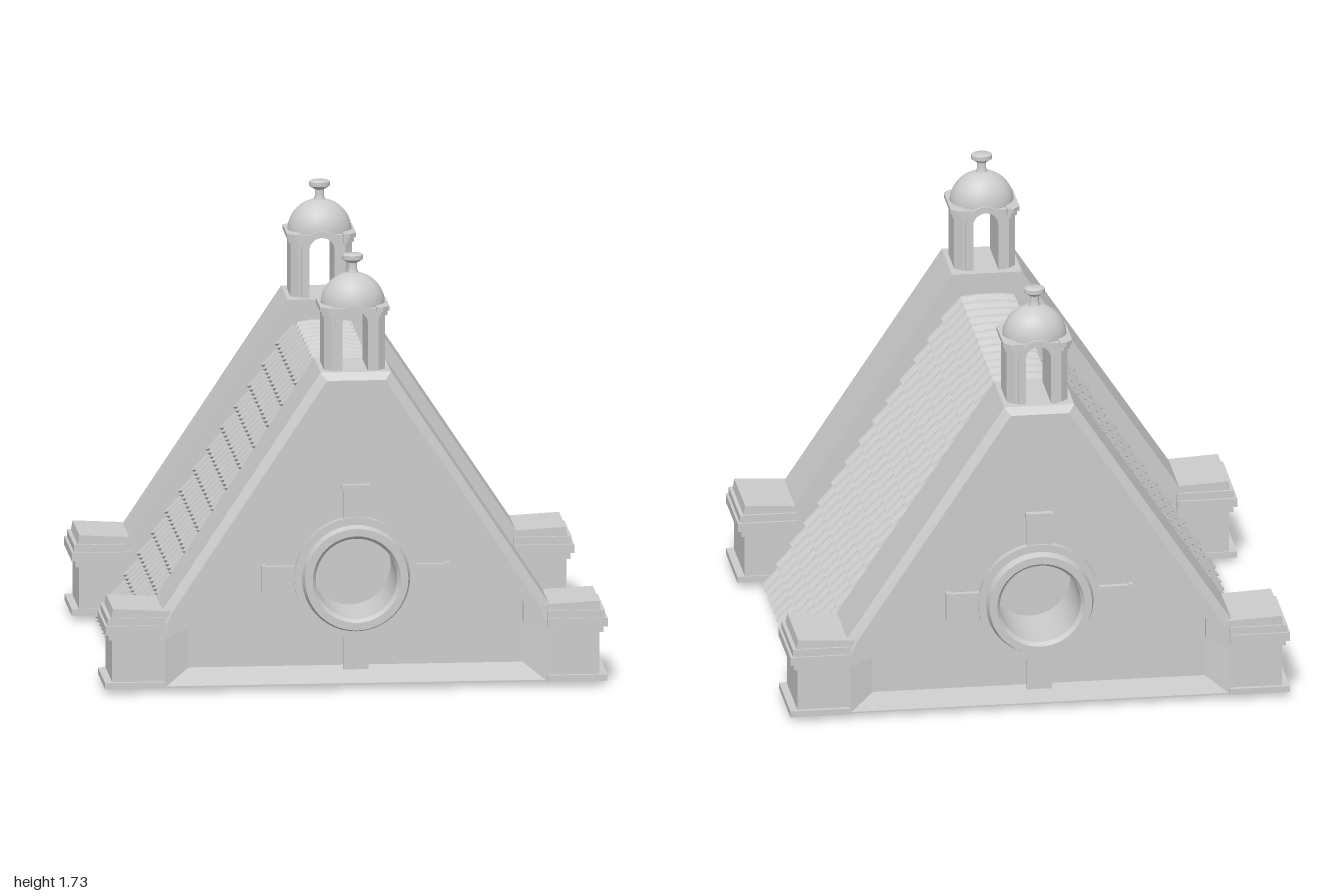
import * as THREE from 'three';
import { toCreasedNormals } from 'three/addons/utils/BufferGeometryUtils.js';

const mat = new THREE.MeshStandardMaterial({ color: 0xcccccc });
const thin = new THREE.MeshStandardMaterial({ color: 0xcccccc, side: THREE.DoubleSide });

function add(parent, name, geo, x = 0, y = 0, z = 0, material = mat) {
  const m = new THREE.Mesh(geo, material);
  m.name = name;
  m.position.set(x, y, z);
  parent.add(m);
  return m;
}

// Box given by its limits
function block(parent, name, x0, x1, y0, y1, z0, z1) {
  return add(parent, name, new THREE.BoxGeometry(x1 - x0, y1 - y0, z1 - z0),
    (x0 + x1) / 2, (y0 + y1) / 2, (z0 + z1) / 2);
}

const shapeOf = pts => new THREE.Shape(pts.map(p => new THREE.Vector2(...p)));
const extrude = (shape, depth) =>
  toCreasedNormals(new THREE.ExtrudeGeometry(shape, { depth, bevelEnabled: false, curveSegments: 20 }), 0.5);
const mirrored = pts => [...pts, ...pts.slice().reverse().map(([x, ...r]) => [-x, ...r])];

// Skin over rows of points, all rows equally long
function skin(rows, crease = 0.5) {
  const n = rows[0].length, index = [];
  for (let i = 0; i < rows.length - 1; i++)
    for (let j = 0; j < n - 1; j++) {
      const a = i * n + j, b = a + n;
      index.push(a, a + 1, b, b, a + 1, b + 1);
    }
  const g = new THREE.BufferGeometry();
  g.setAttribute('position', new THREE.Float32BufferAttribute(rows.flat(2), 3));
  g.setIndex(index);
  return toCreasedNormals(g, crease);
}

// Corrugated, stepped tiles running from one eave over the ridge to the other
function tiledRoof(group) {
  const rowCount = 14, top = [0.115, 1.18], eave = [0.885, 0.005];
  const N = new THREE.Vector2(top[1] - eave[1], eave[0] - top[0]).normalize();
  const half = [];
  for (let r = rowCount; r > 0; r--) {
    const at = (k, h) => [
      top[0] + (eave[0] - top[0]) * k / rowCount + N.x * h,
      top[1] + (eave[1] - top[1]) * k / rowCount + N.y * h, N.x, N.y];
    half.push(at(r, 0), at(r, 0.017), at(r - 1, 0));
  }
  half.push([0.118, 1.178, N.x, N.y], [0.108, 1.19, 0.4, 0.9], [0.05, 1.197, 0.1, 1]);
  const profile = mirrored(half);
  const cols = 120, length = 1.24, pitch = 0.08;
  const rows = profile.map(([x, y, nx, ny]) => Array.from({ length: cols + 1 }, (_, j) => {
    const z = length * (j / cols - 0.5);
    const h = 0.009 * Math.cos(2 * Math.PI * z / pitch);
    return [x + nx * h, Math.max(0.003, y + ny * h), z];
  }));
  add(group, 'roofTiles', skin(rows, 0.6), 0, 0, 0, thin);
  const core = shapeOf(mirrored([[0.865, 0.005], [0.1, 1.165]]));
  add(group, 'roofCore', extrude(core, 1.24), 0, 0, -0.62);
  block(group, 'floorSlab', -0.87, 0.87, 0, 0.02, -0.67, 0.67);
}

// Little bell turret on top of a gable
function turret(parent) {
  const t = new THREE.Group();
  t.name = 'turret';
  t.position.set(0, 1.28, 0.745);
  parent.add(t);
  // Arched wall, open from front to back
  const arch = (w, h) => {
    const s = new THREE.Shape();
    s.moveTo(-w, 0);
    s.lineTo(w, 0);
    s.lineTo(w, h);
    s.absarc(0, h, w, 0, Math.PI);
    s.lineTo(-w, 0);
    return s;
  };
  const ring = (w, h, v, k) => {
    const s = new THREE.Shape();
    s.moveTo(v, 0);
    s.lineTo(w, 0);
    s.lineTo(w, h);
    s.absarc(0, h, w, 0, Math.PI, false);
    s.lineTo(-w, 0);
    s.lineTo(-v, 0);
    s.lineTo(-v, k);
    s.absarc(0, k, v, Math.PI, 0, true);
    s.lineTo(v, 0);
    return s;
  };
  const wall = shapeOf([[-0.09, 0], [0.09, 0], [0.09, 0.25], [-0.09, 0.25]]);
  wall.holes.push(new THREE.Path(arch(0.05, 0.19).getPoints(12)));
  add(t, 'archWall', extrude(wall, 0.216), 0, 0, -0.108);
  add(t, 'archSurround', extrude(ring(0.08, 0.185, 0.05, 0.19), 0.234), 0, 0, -0.117);
  // Chamfered side walls and their cornices
  const side = (s, grow, h) => {
    const a = 0.085, b = 0.122 + grow, c = 0.108 + grow;
    const pts = [[a, -c], [b - 0.028, -c], [b, -c + 0.028], [b, c - 0.028], [b - 0.028, c], [a, c]];
    const g = extrude(shapeOf(pts.map(([x, y]) => [x * s, y])), h);
    return g.rotateX(-Math.PI / 2);
  };
  for (const s of [-1, 1]) {
    add(t, 'turretSide', side(s, 0, 0.25));
    add(t, 'turretCornice', side(s, 0.008, 0.022), 0, 0.218, 0);
    add(t, 'turretCornice', side(s, 0.016, 0.018), 0, 0.238, 0);
  }
  // Dome and finial, slightly oval in plan
  const dome = new THREE.SphereGeometry(0.128, 32, 12, 0, Math.PI * 2, 0, Math.PI / 2);
  add(t, 'dome', dome, 0, 0.25, 0, thin).scale.z = 0.83;
  const knob = [[0.026, 0.37], [0.018, 0.39], [0.018, 0.415], [0.042, 0.43], [0.042, 0.447], [0.034, 0.452], [0, 0.452]];
  const finial = toCreasedNormals(new THREE.LatheGeometry(knob.map(p => new THREE.Vector2(...p)), 24), 0.6);
  add(t, 'finial', finial, 0, 0, 0, thin).scale.z = 0.83;
}

// Stepped corner pier
function pier(parent, s) {
  const g = new THREE.Group();
  g.name = 'cornerPier';
  parent.add(g);
  const layer = (name, x, y0, y1, z0, z1) =>
    block(g, name, Math.min(s * 0.76, s * x), Math.max(s * 0.76, s * x), y0, y1, z0, z1);
  layer('pierShaft', 0.97, 0.02, 0.24, 0.595, 0.893);
  layer('pierPlinth', 1.0, 0.02, 0.045, 0.588, 0.912);
  layer('pierMoulding', 0.985, 0.215, 0.245, 0.585, 0.903);
  layer('pierCornice', 1.0, 0.24, 0.275, 0.575, 0.918);
  layer('pierCornice', 0.99, 0.275, 0.305, 0.585, 0.91);
  // Cap rises a little toward the outside
  const cap = shapeOf([[0.74, 0.305], [0.975, 0.305], [0.968, 0.342], [0.74, 0.33]].map(([x, y]) => [s * x, y]));
  add(g, 'pierCap', extrude(cap, 0.305), 0, 0, 0.597);
}

function gable() {
  const g = new THREE.Group();
  g.name = 'gable';
  const windowY = 0.45, panelZ = 0.87, rimZ = 0.905;

  // Wall with the round opening
  const wall = shapeOf(mirrored([[0.96, 0.02], [0.96, 0.3], [0.79, 0.3], [0.14, 1.28]]));
  const hole = new THREE.Path();
  hole.absarc(0, windowY, 0.17, 0, Math.PI * 2, true);
  wall.holes.push(hole);
  add(g, 'gableWall', extrude(wall, panelZ - 0.605), 0, 0, 0.605);

  // Raised rim along the slopes, bevelled on the outside
  const at = (pts, z) => mirrored(pts.map(([x, y]) => [x, y, z]));
  const outer = [[0.8, 0.215], [0.81, 0.27], [0.79, 0.3], [0.14, 1.28]];
  const middle = [[0.78, 0.215], [0.755, 0.265], [0.735, 0.32], [0.117, 1.25]];
  const inner = [[0.76, 0.215], [0.665, 0.262], [0.665, 0.345], [0.08, 1.185]];
  add(g, 'slopeRim', skin([at(outer, panelZ), at(outer, 0.885), at(middle, rimZ), at(inner, rimZ), at(inner, panelZ)], 0.2),
    0, 0, 0, thin);
  // Splayed edge at the foot of the panel
  const foot = [[0.76, 0.215], [0.76, 0.02]], splay = [[0.665, 0.262], [0.665, 0.095]];
  add(g, 'panelSplay', skin([at(splay, panelZ + 0.001), at(foot, 0.9), at(foot, panelZ)], 0.2), 0, 0, 0, thin);
  // Closes the underside of the splay
  block(g, 'footSill', -0.77, 0.77, 0.02, 0.026, 0.8, 0.902);
  // Narrow lip on the inner side of the slopes
  const lip = shapeOf([...mirrored([[0.79, 0.3], [0.14, 1.28]]), ...mirrored([[0.74, 0.3], [0.115, 1.245]]).reverse()]);
  add(g, 'innerLip', extrude(lip, 0.015), 0, 0, 0.592);

  // Round window frame with its deep reveal
  const ring = [[0.162, 0.61], [0.162, 0.915], [0.175, 0.933], [0.205, 0.933], [0.215, 0.9], [0.245, 0.9], [0.245, 0.868]];
  const frame = new THREE.LatheGeometry(ring.map(p => new THREE.Vector2(...p)), 48).rotateX(Math.PI / 2);
  add(g, 'windowFrame', toCreasedNormals(frame, 0.5), 0, windowY, 0, thin);

  // Cross arms around the window
  const armZ = 0.892;
  block(g, 'windowArm', -0.05, 0.05, 0.67, 0.815, 0.86, armZ);
  block(g, 'windowArmEnd', -0.055, 0.055, 0.805, 0.825, 0.86, armZ + 0.005);
  block(g, 'windowArm', -0.05, 0.05, 0.08, 0.23, 0.86, armZ);
  for (const s of [-1, 1]) {
    const [a, b] = s > 0 ? [0.22, 0.365] : [-0.365, -0.22];
    block(g, 'windowArm', a, b, 0.4, 0.5, 0.86, armZ);
    block(g, 'windowArmEnd', s * 0.365 - 0.009, s * 0.365 + 0.009, 0.395, 0.505, 0.86, armZ + 0.005);
    pier(g, s);
  }
  turret(g);
  return g;
}

export function createModel() {
  const group = new THREE.Group();
  group.name = 'tiledGableRoof';
  tiledRoof(group);
  const front = gable(), back = gable();
  front.name = 'frontGable';
  back.name = 'backGable';
  back.rotation.y = Math.PI;
  group.add(front, back);
  return group;
}
